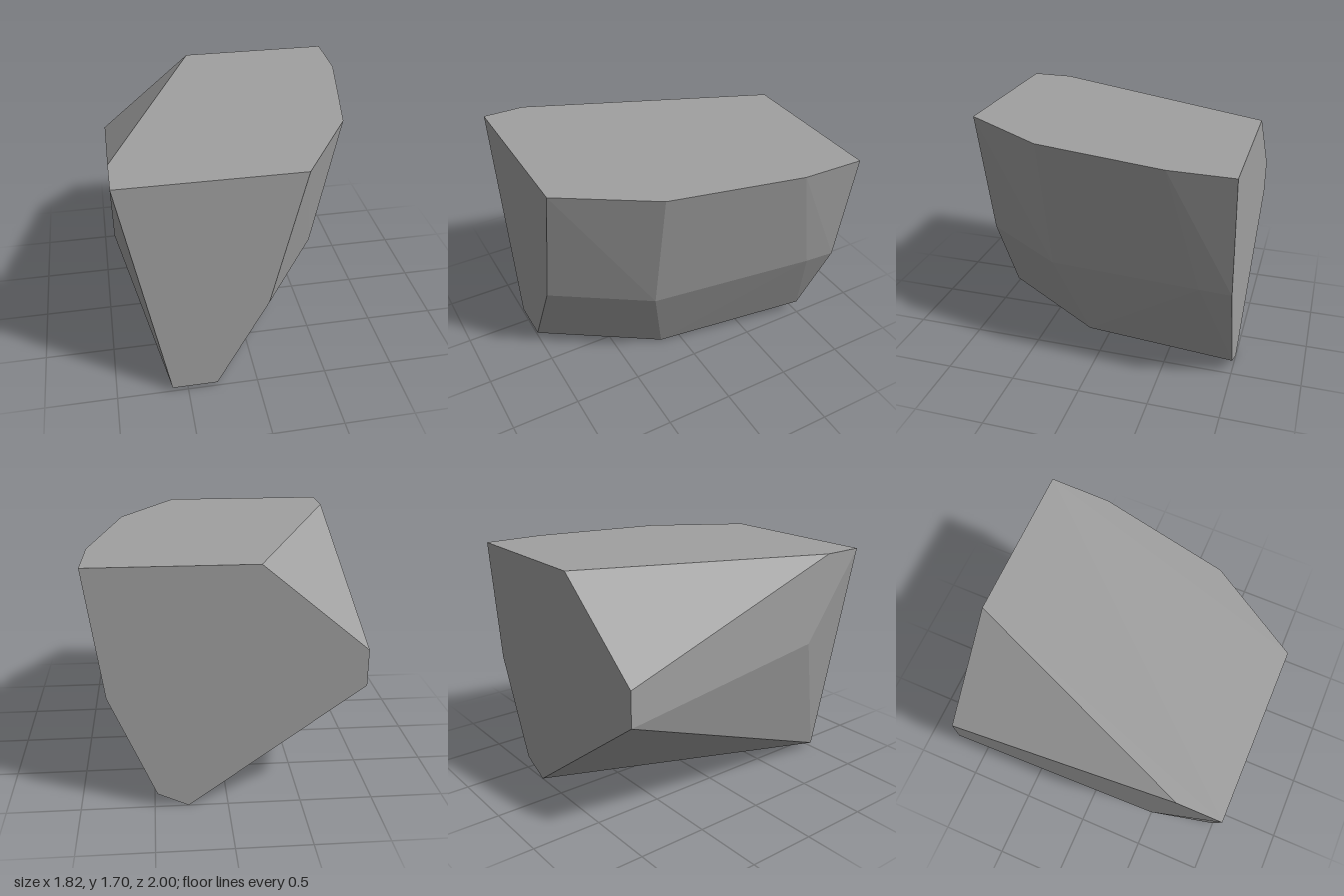
import * as THREE from 'three';
import { ConvexGeometry } from 'three/addons/geometries/ConvexGeometry.js';

export function createModel() {
  const stoneGrey = new THREE.MeshStandardMaterial({ color: 0xa0a0a0 });
  stoneGrey.name = 'stoneGrey';

  // Corners of the chipped boulder, grouped by level
  const corners = [
    // flat top rim
    [-0.91, 1.7, 1], [0.3, 1.7, 1], [0.7, 1.7, 0.37], [0.9, 1.7, -0.56],
    [0.91, 1.7, -1], [-0.2, 1.7, -1], [-0.91, 1.7, 0.7],
    // chipped rear corner and right flank
    [-0.91, 1.11, -1], [-0.91, 0.86, -1], [-0.91, 1.07, 0.55],
    // bulge of the left flank
    [0.07, 0.71, 1], [0.515, 0.72, 0.35], [0.775, 0.83, -0.78], [0.79, 0.83, -1],
    // narrow underside
    [-0.61, 0.03, 1], [-0.29, 0.03, 1], [0.25, 0.015, 0.16],
    [0.27, 0, -1], [0.48, 0.1, -1],
  ].map((p) => new THREE.Vector3(...p));

  // The hull gives flat facets with sharp edges
  const boulder = new THREE.Mesh(new ConvexGeometry(corners), stoneGrey);
  boulder.name = 'boulder';

  const model = new THREE.Group();
  model.name = 'rock';
  model.add(boulder);
  return model;
}
